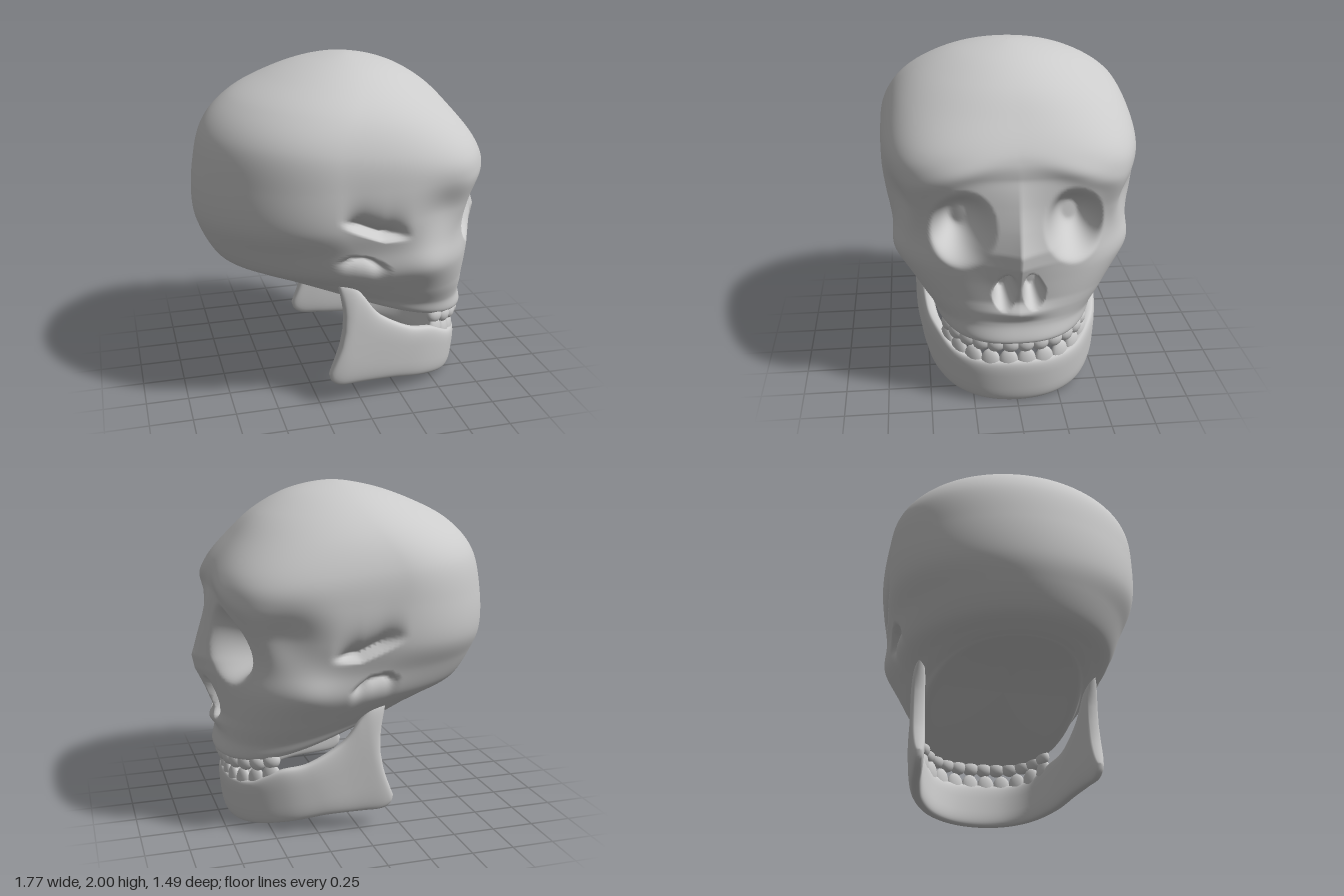
import * as THREE from 'three';
import { mergeVertices } from 'three/addons/utils/BufferGeometryUtils.js';
import { ParametricGeometry } from 'three/addons/geometries/ParametricGeometry.js';

const { smoothstep, clamp, lerp } = THREE.MathUtils;
const bone = new THREE.MeshStandardMaterial({ color: 0xcccccc, side: THREE.DoubleSide });

// Smooth interpolation between the rows of a table, t = row number
function spline(rows, t) {
  const last = rows.length - 1;
  const i = clamp(Math.floor(t), 0, last - 1), f = t - i;
  const row = k => rows[clamp(k, 0, last)];
  return rows[0].map((_, c) => {
    const a = row(i - 1)[c], b = row(i)[c], d = row(i + 1)[c], e = row(i + 2)[c];
    return b + 0.5 * f * (d - a + f * (2 * a - 5 * b + 4 * d - e + f * (3 * (b - d) + e - a)));
  });
}

// Piecewise linear profile through [x, y] pairs in rising x
function profile(pts, x) {
  for (let i = 1; i < pts.length; i++) {
    if (x <= pts[i][0]) {
      const [x0, y0] = pts[i - 1], [x1, y1] = pts[i];
      return lerp(y0, y1, clamp((x - x0) / (x1 - x0), 0, 1));
    }
  }
  return pts[pts.length - 1][1];
}

function surface(fn, nu, nv, name) {
  let geo = new ParametricGeometry(fn, nu, nv);
  geo.deleteAttribute('uv');
  geo.deleteAttribute('normal');
  geo = mergeVertices(geo, 1e-5);
  geo.computeVertexNormals();
  const mesh = new THREE.Mesh(geo, bone);
  mesh.name = name;
  return mesh;
}

// Skull rings from crown to base: frontX, frontY, backX, backY, half width, widest x, front squareness
// (the first row mirrors the third, to round the crown)
const RINGS = [
  [-0.20, 1.97, 0.28, 1.95, -0.27, 0.03, 2.0],
  [0.04, 2.00, 0.04, 2.00, 0.00, 0.03, 2.0],
  [0.28, 1.95, -0.20, 1.97, 0.27, 0.03, 2.0],
  [0.48, 1.84, -0.44, 1.89, 0.49, 0.00, 2.1],
  [0.62, 1.70, -0.67, 1.77, 0.645, -0.08, 2.5],
  [0.75, 1.52, -0.82, 1.60, 0.73, -0.18, 3.2],
  [0.755, 1.37, -0.88, 1.36, 0.745, -0.20, 3.8],
  [0.74, 1.18, -0.89, 1.14, 0.735, -0.18, 3.5],
  [0.73, 1.00, -0.85, 0.99, 0.69, -0.05, 2.9],
  [0.73, 0.84, -0.77, 0.85, 0.66, 0.12, 2.6],
  [0.74, 0.66, -0.68, 0.79, 0.575, 0.20, 2.4],
  [0.745, 0.53, -0.62, 0.765, 0.505, 0.17, 2.4],
  [0.755, 0.42, -0.58, 0.755, 0.45, 0.15, 2.4],
  [0.60, 0.45, -0.40, 0.74, 0.30, 0.05, 2.3],
  [0.00, 0.66, 0.00, 0.66, 0.00, 0.00, 2.0],
];
const NOSE = [[0.55, 0], [0.62, 0.02], [0.68, 0.02], [0.8, 0.075], [0.92, 0.135], [1.0, 0.15], [1.13, 0.105], [1.25, 0.06], [1.4, 0.01], [1.5, 0]];
const ARCH_LINE = [[-0.2, 1.23], [0.06, 1.11], [0.25, 1.1]];
const EAR_LINE = [[-0.17, 0.93], [-0.1, 0.965], [0, 0.95], [0.1, 0.88]];

const bump = (a, b, ra, rb) => Math.exp(-((a / ra) ** 2) - (b / rb) ** 2);
const windowed = (x, a, b, soft) => smoothstep(x, a, a + soft) * (1 - smoothstep(x, b - soft, b));

// Presses the face and temple features into the plain skull
function sculpt(p) {
  const { x, y } = p, z = Math.abs(p.z);
  const front = smoothstep(x, 0.3, 0.6);
  let dx = profile(NOSE, y) * Math.exp(-z / 0.2);                       // nasal ridge
  dx += 0.02 * bump(y - 1.46 + 0.3 * (z - 0.2), z - 0.36, 0.06, 0.2);   // brow ridge
  dx -= 0.04 * bump(y - 1.14, z - 0.48, 0.17, 0.12);                    // outer eye rim
  const eye = Math.hypot((y - 1.12 - 0.15 * (0.3 - z)) / 0.205, (z - 0.31) / 0.165);
  dx -= 0.25 * (1 - smoothstep(eye, 0.25, 1.15));                       // eye socket
  const lean = Math.max(0, y - 0.74);
  const nostril = Math.hypot((y - 0.755) / 0.115, (z - 0.085 + 0.2 * lean) / (0.062 - 0.08 * lean));
  dx -= 0.2 * (1 - smoothstep(nostril, 0.5, 1.1));                      // nasal opening
  dx += 0.025 * bump(y - 0.61, z, 0.04, 0.14);                          // nasal sill
  p.x += front * dx;

  const side = smoothstep(z, 0.35, 0.55);
  let dz = -0.06 * bump(x - 0.46, y - 1.2, 0.17, 0.15);                 // temple hollow
  dz += 0.035 * bump(x - 0.36, y - 0.9, 0.16, 0.13);                    // cheekbone
  const up = y - profile(ARCH_LINE, x);
  dz -= 0.1 * windowed(x, -0.2, 0.24, 0.16) * (up > 0 ? Math.exp(-up / 0.06) : smoothstep(up, -0.045, 0));
  const down = profile(EAR_LINE, x) - y;
  dz -= 0.06 * windowed(x, -0.18, 0.12, 0.08) * (down > 0 ? Math.exp(-down / 0.045) : smoothstep(down, -0.035, 0));
  p.z += Math.sign(p.z) * side * dz;
}

function skullPoint(u, v, p) {
  const [fx, fy, bx, by, w, mid, square] = spline(RINGS, 1 + v * (RINGS.length - 2));
  const t = 2 * u - 1, angle = Math.PI * (0.55 * t + 0.45 * t ** 3);    // finer toward the face
  const c = Math.cos(angle), s = Math.sin(angle);
  const a = Math.max(c > 0 ? fx - mid : mid - bx, 1e-4), b = Math.max(w, 1e-4);
  const n = c > 0 ? square : 1.97;
  const r = (Math.abs(c / a) ** n + Math.abs(s / b) ** n) ** (-1 / n);
  const x = mid + r * c;
  const k = fx - bx > 1e-3 ? smoothstep(x, bx, fx) : 0;
  p.set(x, lerp(by, fy, k), Math.abs(s) < 1e-9 ? 0 : r * s);
  sculpt(p);
}

// Jaw columns from chin to hinge: z, bottomX, bottomY, topX, topY
// (the first row mirrors the third, to keep the chin smooth)
const JAW = [
  [-0.20, 0.67, 0.01, 0.70, 0.28],
  [0.00, 0.70, 0.00, 0.73, 0.28],
  [0.20, 0.67, 0.01, 0.70, 0.28],
  [0.36, 0.57, 0.035, 0.61, 0.31],
  [0.465, 0.40, 0.07, 0.47, 0.39],
  [0.515, 0.20, 0.105, 0.31, 0.43],
  [0.54, 0.00, 0.115, 0.12, 0.54],
  [0.555, -0.12, 0.12, 0.01, 0.68],
  [0.56, -0.18, 0.15, -0.06, 0.755],
  [0.56, -0.20, 0.20, -0.15, 0.77],
];
function jawColumn(s) {
  const [z, bx, by, tx, ty] = spline(JAW, 1 + Math.abs(s) * (JAW.length - 2));
  return { z: s < 0 ? -z : z, bx, by, tx, ty };
}
function jawPoint(u, v, p) {
  const s = 2 * u - 1, phi = v * Math.PI * 2;
  const col = jawColumn(s);
  const a = jawColumn(Math.max(s - 0.03, -1)), b = jawColumn(Math.min(s + 0.03, 1));
  const tx = (b.bx + b.tx - a.bx - a.tx) / 2, tz = b.z - a.z, len = Math.hypot(tx, tz) || 1;
  const round = q => Math.sign(q) * Math.abs(q) ** 0.6;
  const h = 0.5 - 0.5 * round(Math.sin(phi));
  const half = 0.042 * Math.sqrt(Math.max(0, 1 - Math.abs(s) ** 24));
  const off = half * round(Math.cos(phi)) - 0.035;
  const bow = 0.06 * Math.sin(Math.PI * h) * smoothstep(Math.abs(s), 0.65, 1);
  p.set(
    lerp(col.bx, col.tx, h) + bow + off * tz / len,
    lerp(col.by, col.ty, h),
    col.z - off * tx / len,
  );
}

// A row of rounded teeth along an arch given from the middle to the left end
function teeth(half, count, size, name) {
  const mirrored = half.slice(1).reverse().map(([x, y, z]) => [x, y, -z]);
  const curve = new THREE.CatmullRomCurve3([...mirrored, ...half].map(q => new THREE.Vector3(...q)));
  const geo = new THREE.SphereGeometry(1, 14, 10);
  const row = new THREE.Group();
  row.name = name;
  for (let i = 0; i < count; i++) {
    const t = (i + 0.5) / count, tangent = curve.getTangentAt(t);
    const tooth = new THREE.Mesh(geo, bone);
    tooth.name = 'tooth';
    tooth.position.copy(curve.getPointAt(t));
    tooth.rotation.y = Math.atan2(tangent.x, tangent.z);
    tooth.scale.set(...size);
    row.add(tooth);
  }
  return row;
}

export function createModel() {
  const model = new THREE.Group();
  model.name = 'skull';
  model.add(
    surface(skullPoint, 240, 168, 'cranium'),
    surface(jawPoint, 120, 40, 'lowerJaw'),
    teeth([[0.715, 0.395, 0], [0.67, 0.4, 0.22], [0.57, 0.42, 0.345], [0.46, 0.445, 0.405]], 12, [0.036, 0.05, 0.053], 'upperTeeth'),
    teeth([[0.69, 0.262, 0], [0.66, 0.265, 0.2], [0.57, 0.3, 0.335], [0.46, 0.355, 0.42]], 10, [0.03, 0.085, 0.058], 'lowerTeeth'),
  );
  return model;
}
